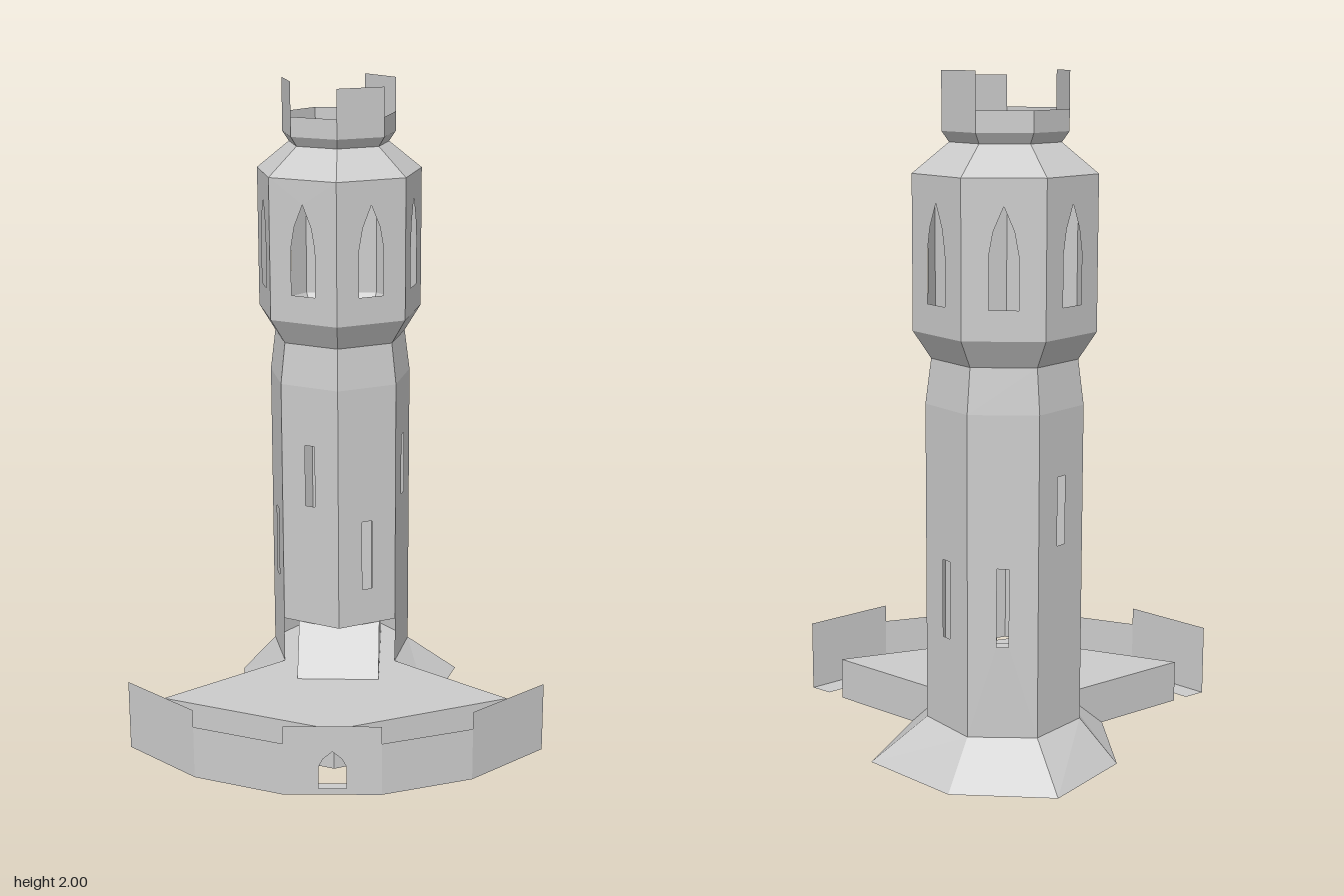
import * as THREE from 'three';

const CX = -0.22, CZ = -0.235, STEP = (Math.PI * 2) / 7;
const mat = new THREE.MeshStandardMaterial({ color: 0xcccccc, flatShading: true, side: THREE.DoubleSide });

// corner k of the seven-sided tower; wall k runs from corner k to corner k + 1 and wall 0 faces +z
function corner(r, k) {
  const a = (k - 0.5) * STEP;
  return [CX + r * Math.sin(a), CZ + r * Math.cos(a)];
}

function add(parent, name, geometry) {
  const mesh = new THREE.Mesh(geometry, mat);
  mesh.name = name;
  parent.add(mesh);
  return mesh;
}

// upright sheet between two ground points, with an optional slit or pointed opening
function panel(parent, name, a, b, y0, y1, hole) {
  const dx = b[0] - a[0], dz = b[1] - a[1], h = Math.hypot(dx, dz) / 2;
  const shape = new THREE.Shape([[-h, y0], [h, y0], [h, y1], [-h, y1]].map(p => new THREE.Vector2(...p)));
  if (hole) {
    const { w, bottom, spring, top } = hole;
    const path = new THREE.Path();
    path.moveTo(-w, bottom);
    path.lineTo(-w, spring);
    if (top > spring) {
      path.lineTo(-w * 0.7, spring + (top - spring) * 0.5);
      path.lineTo(0, top);
      path.lineTo(w * 0.7, spring + (top - spring) * 0.5);
    }
    path.lineTo(w, spring);
    path.lineTo(w, bottom);
    path.closePath();
    shape.holes.push(path);
  }
  const mesh = add(parent, name, new THREE.ShapeGeometry(shape));
  mesh.position.set((a[0] + b[0]) / 2, 0, (a[1] + b[1]) / 2);
  mesh.rotation.y = Math.atan2(-dz, dx);
}

// sheet joining two closed rings of [x, y, z] points
function loft(parent, name, low, high) {
  const pos = [], n = low.length;
  for (let i = 0; i < n; i++) {
    const j = (i + 1) % n;
    pos.push(...low[i], ...low[j], ...high[j], ...low[i], ...high[j], ...high[i]);
  }
  const g = new THREE.BufferGeometry();
  g.setAttribute('position', new THREE.Float32BufferAttribute(pos, 3));
  g.computeVertexNormals();
  add(parent, name, g);
}

function ring(r, y) {
  return Array.from({ length: 7 }, (_, k) => {
    const [x, z] = corner(r, k);
    return [x, y, z];
  });
}

// horizontal sheet or slab from ground points
function flat(parent, name, points, y, depth = 0) {
  const shape = new THREE.Shape(points.map(([x, z]) => new THREE.Vector2(x, -z)));
  const g = depth
    ? new THREE.ExtrudeGeometry(shape, { depth, bevelEnabled: false })
    : new THREE.ShapeGeometry(shape);
  g.rotateX(-Math.PI / 2);
  g.translate(0, y, 0);
  add(parent, name, g);
}

export function createModel() {
  const model = new THREE.Group();
  model.name = 'watchtower';
  const tower = new THREE.Group();
  tower.name = 'tower';
  model.add(tower);

  // sloping foot, slightly irregular
  const foot = [[-0.39, 0.11], [-0.06, 0.1], [0.14, -0.155], [0.09, -0.485],
    [-0.22, -0.58], [-0.505, -0.46], [-0.555, -0.16]];
  loft(tower, 'foot', foot.map(([x, z]) => [x, 0, z]), ring(0.23, 0.13));
  flat(tower, 'footBase', foot, 0);

  for (let k = 0; k < 7; k++) {
    // shaft walls with slits at alternating heights; two are raised over the entrance
    const high = k === 0 || k === 2 || k === 5;
    const slit = { w: 0.017, bottom: high ? 0.68 : 0.4, spring: high ? 0.88 : 0.63, top: 0 };
    panel(tower, 'shaftWall', corner(0.23, k), corner(0.23, k + 1), k < 2 ? 0.28 : 0.13, 1.07, slit);

    // lantern room walls with pointed windows
    const arch = { w: 0.041, bottom: 1.365, spring: 1.51, top: 1.645 };
    panel(tower, 'lanternWall', corner(0.265, k), corner(0.265, k + 1), 1.28, 1.72, arch);

    // parapet with three merlons
    const merlon = k === 1 || k === 3 || k === 6;
    panel(tower, merlon ? 'merlon' : 'parapet', corner(0.181, k), corner(0.181, k + 1),
      1.835, merlon ? (k === 1 ? 1.985 : 2) : 1.895);
  }

  // sloping bands between the upright walls
  loft(tower, 'neckLower', ring(0.23, 1.07), ring(0.213, 1.2));
  loft(tower, 'neckUpper', ring(0.213, 1.2), ring(0.265, 1.28));
  loft(tower, 'shoulder', ring(0.265, 1.72), ring(0.16, 1.805));
  loft(tower, 'parapetFlare', ring(0.16, 1.805), ring(0.181, 1.835));

  // raised courtyard
  flat(model, 'courtyard', [[-0.52, 0.39], [0.055, 0.345], [0.44, -0.085], [0.004, -0.184],
    [-0.12, -0.028], [-0.32, -0.028]], 0, 0.13);
  flat(tower, 'towerFloor', ring(0.23, 0).map(p => [p[0], p[2]]), 0.13);

  // entrance ramp rising from the courtyard into the shaft
  const profile = new THREE.Shape([[0, 0.13], [0.12, 0.28], [0.37, 0.28], [0.37, 0.13]]
    .map(p => new THREE.Vector2(...p)));
  const rampGeometry = new THREE.ExtrudeGeometry(profile, { depth: 0.26, bevelEnabled: false });
  rampGeometry.translate(0, 0, -0.13);
  const ramp = add(model, 'entranceRamp', rampGeometry);
  ramp.position.set(-0.0975, 0, 0.025);
  ramp.rotation.y = Math.atan2(0.906, -0.42);

  // curved outer wall: thin crenellated sheets on a ground strip
  const outer = [[-0.575, 0.5], [-0.295, 0.578], [-0.005, 0.553], [0.255, 0.425], [0.455, 0.22], [0.572, -0.053]];
  const inner = [[-0.543, 0.437], [-0.29, 0.508], [-0.02, 0.483], [0.215, 0.37], [0.4, 0.175], [0.502, -0.066]];
  const gate = { w: 0.041, bottom: 0.02, spring: 0.09, top: 0.14 };
  for (let i = 0; i < 5; i++) {
    panel(model, 'outerWall', outer[i], outer[i + 1], 0, i % 2 ? 0.165 : 0.22, i === 2 ? gate : null);
  }
  flat(model, 'outerWallStrip', [...outer, ...inner.reverse()], 0);

  return model;
}
